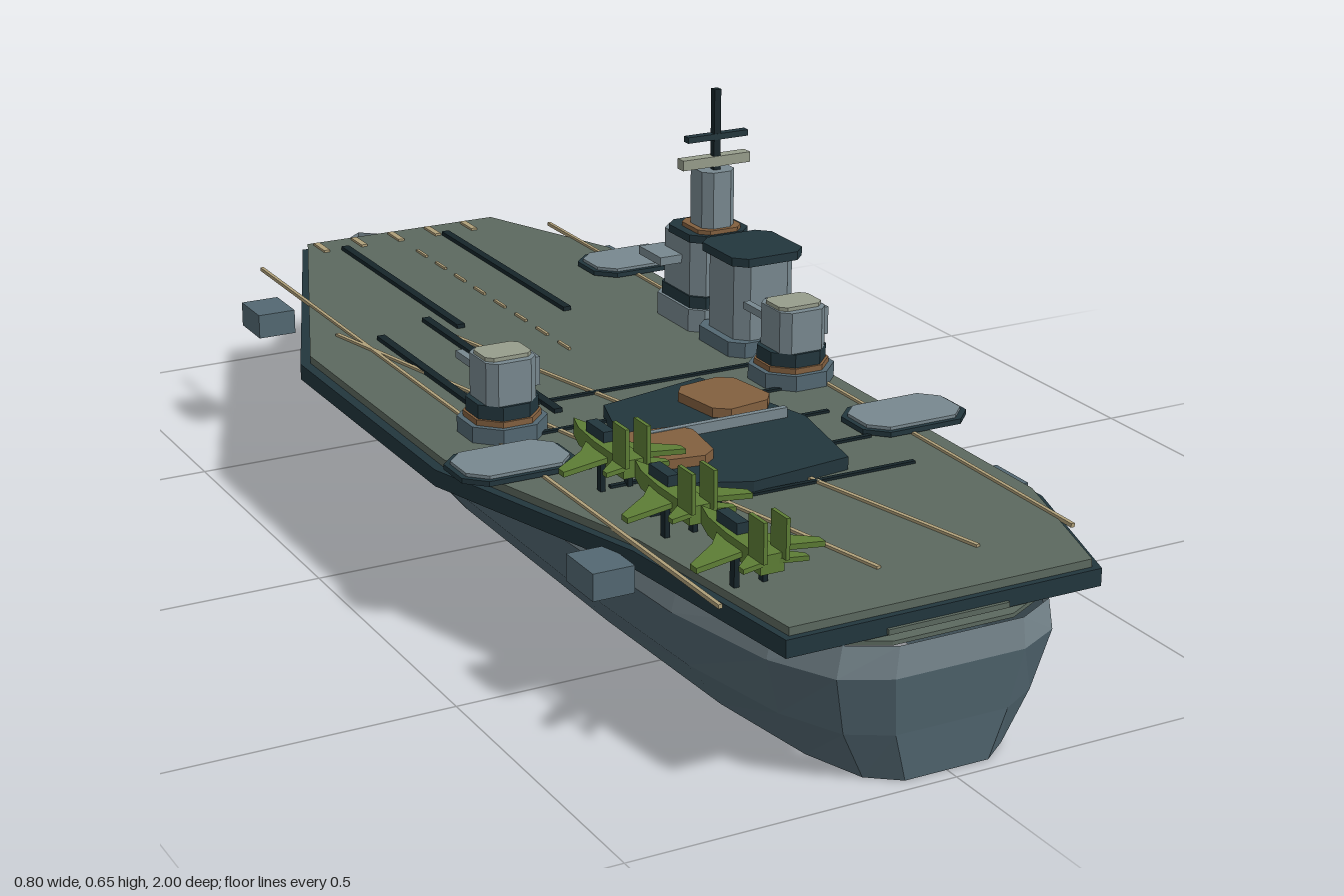
import * as THREE from 'three';

const mat = (name, color) => {
  const m = new THREE.MeshStandardMaterial({ color, side: THREE.DoubleSide });
  m.name = name;
  return m;
};

export function createModel() {
  const M = {
    hull: mat('hull blue grey', 0x536872),
    grey: mat('superstructure grey', 0x78888f),
    trim: mat('dark teal', 0x22363d),
    deck: mat('deck olive grey', 0x5c695f),
    black: mat('near black', 0x16252a),
    tan: mat('marking tan', 0xb0a07a),
    brown: mat('hatch brown', 0x83603f),
    green: mat('aircraft green', 0x5d7d35),
    khaki: mat('roof khaki', 0x979d8c),
  };
  const root = new THREE.Group();
  root.name = 'aircraftCarrier';

  const add = (parent, name, geo, m) => {
    const mesh = new THREE.Mesh(geo, m);
    mesh.name = name;
    parent.add(mesh);
    return mesh;
  };
  // Box given by its centre in x and z and its bottom and top heights
  const box = (parent, name, m, x, z, w, d, y0, y1) => {
    const mesh = add(parent, name, new THREE.BoxGeometry(w, y1 - y0, d), m);
    mesh.position.set(x, (y0 + y1) / 2, z);
    return mesh;
  };
  // Horizontal slab from an outline of [x, z] points
  const slab = (parent, name, m, pts, y0, y1) => {
    const shape = new THREE.Shape(pts.map(([x, z]) => new THREE.Vector2(x, -z)));
    const geo = new THREE.ExtrudeGeometry(shape, { depth: y1 - y0, bevelEnabled: false });
    geo.rotateX(-Math.PI / 2).translate(0, y0, 0);
    return add(parent, name, geo, m);
  };
  // Rectangle outline with cut corners, optionally turned
  const cut = (x, z, w, d, c, turn = 0) => {
    const a = w / 2, b = d / 2, cs = Math.cos(turn), sn = Math.sin(turn);
    return [[-a, c - b], [c - a, -b], [a - c, -b], [a, c - b], [a, b - c], [a - c, b], [c - a, b], [-a, b - c]]
      .map(([u, v]) => [x + u * cs - v * sn, z + u * sn + v * cs]);
  };
  // Thin painted line between two deck points
  const line = (name, m, x1, z1, x2, z2, w, y1 = 0.254) => {
    const mesh = box(root, name, m, (x1 + x2) / 2, (z1 + z2) / 2, w, Math.hypot(x2 - x1, z2 - z1), 0.248, y1);
    mesh.rotation.y = Math.atan2(x2 - x1, z2 - z1);
  };

  // Hull: stations of [z, fullness], levels of [height, half width, length factor]
  const stations = [[-1, 0], [-0.97, 0.13], [-0.87, 0.38], [-0.7, 0.66], [-0.48, 0.87], [-0.15, 1],
    [0.35, 1], [0.68, 0.94], [0.87, 0.8], [0.965, 0.62], [1, 0.37]];
  const levels = [[0, 0.18, 0.977], [0.075, 0.24, 0.985], [0.165, 0.275, 1], [0.212, 0.262, 1]];
  const point = (i, j, s) => {
    const [z, f] = stations[i], [y, w, k] = levels[j];
    return [s * w * f, y, z * k];
  };
  const hullBand = (name, m, j0, j1) => {
    const p = [];
    const quad = (a, b, c, d) => p.push(...a, ...b, ...c, ...a, ...c, ...d);
    const last = stations.length - 1;
    for (let j = j0; j < j1; j++) {
      for (let i = 0; i < last; i++) {
        quad(point(i, j, 1), point(i, j + 1, 1), point(i + 1, j + 1, 1), point(i + 1, j, 1));
        quad(point(i, j, -1), point(i + 1, j, -1), point(i + 1, j + 1, -1), point(i, j + 1, -1));
      }
      quad(point(last, j, -1), point(last, j, 1), point(last, j + 1, 1), point(last, j + 1, -1));
    }
    const geo = new THREE.BufferGeometry();
    geo.setAttribute('position', new THREE.Float32BufferAttribute(p, 3));
    geo.computeVertexNormals();
    add(root, name, geo, m);
  };
  hullBand('lowerHull', M.hull, 0, 2);
  hullBand('upperHull', M.grey, 2, 3);
  const side = (s) => stations.map((_, i) => point(i, 3, s)).map(([x, , z]) => [x * 0.98, z * 0.98]);
  slab(root, 'hullCover', M.deck, [...side(1), ...side(-1).reverse().slice(0, -1)], 0.204, 0.21);
  box(root, 'sternLedge', M.deck, 0, 0.96, 0.19, 0.02, 0.214, 0.222);

  // Flight deck with its dark edge
  const edge = [[-0.164, -0.87], [0.216, -0.87], [0.328, -0.6], [0.328, 0.715], [0.248, 0.965],
    [-0.248, 0.965], [-0.285, 0.62], [-0.4, 0.22], [-0.4, -0.3]];
  slab(root, 'deckEdge', M.trim, edge, 0.212, 0.238);
  slab(root, 'flightDeck', M.deck, edge.map(([x, z]) => [x * 0.96, z * 0.99]), 0.236, 0.25);

  // Catapult tracks, wires and painted markings
  for (const [x, z0, z1] of [[-0.11, -0.8, -0.31], [0.087, -0.8, -0.31], [-0.25, -0.32, 0.13], [-0.147, -0.37, 0.12]])
    line('catapultTrack', M.black, x, z0, x, z1, 0.014, 0.257);
  for (let i = 0; i < 5; i++) {
    const z = 0.07 + i * 0.119;
    line('arrestingWire', M.black, -0.22, z, 0.22, z, 0.008);
    box(root, 'bowMark', M.tan, -0.145 + i * 0.0725, -0.825, 0.011, 0.05, 0.249, 0.254);
  }
  for (let i = 0; i < 8; i++) line('centreDash', M.tan, 0, -0.73 + i * 0.08, 0, -0.69 + i * 0.08, 0.005);
  line('leftSideLine', M.tan, -0.285, -0.76, -0.285, 0.86, 0.006);
  line('rightSideLine', M.tan, 0.283, -0.77, 0.283, 0.85, 0.006);
  line('angledLine', M.tan, -0.306, -0.37, -0.035, 0.85, 0.007);
  line('angledLine', M.tan, -0.148, -0.31, 0.125, 0.85, 0.007);

  // Raised central platform with hatches and a barrier bar
  slab(root, 'centrePlatform', M.trim, [[-0.095, 0.17], [0.095, 0.13], [0.153, 0.35], [0.12, 0.525],
    [-0.05, 0.545], [-0.15, 0.5], [-0.155, 0.36]], 0.25, 0.27);
  slab(root, 'hatch', M.brown, cut(0.073, 0.243, 0.11, 0.125, 0.02, -0.15), 0.27, 0.285);
  slab(root, 'hatch', M.brown, cut(-0.105, 0.39, 0.11, 0.125, 0.02, 0.15), 0.27, 0.285);
  box(root, 'barrierBar', M.grey, 0, 0.34, 0.25, 0.01, 0.268, 0.286);

  // Side lifts
  for (const [x, z] of [[0.305, -0.485], [0.305, 0.388], [-0.31, 0.288]]) {
    slab(root, 'liftRim', M.trim, cut(x, z, 0.185, 0.122, 0.03), 0.252, 0.26);
    slab(root, 'liftPlatform', M.grey, cut(x, z, 0.168, 0.106, 0.026), 0.259, 0.265);
  }

  // Sponsons below the deck edge
  for (const s of [-1, 1]) for (const z of [-0.632, -0.045, 0.6])
    box(root, 'sponson', M.hull, s * 0.325, z, 0.065, 0.08, 0.185, 0.226);

  // Gun turrets aimed at the bow
  for (const x of [-0.255, 0.25]) {
    const t = new THREE.Group();
    t.name = 'gunTurret';
    root.add(t);
    slab(t, 'turretBase', M.hull, cut(x, 0.147, 0.125, 0.125, 0.035), 0.25, 0.275);
    slab(t, 'turretRing', M.brown, cut(x, 0.147, 0.108, 0.108, 0.03), 0.275, 0.284);
    slab(t, 'turretCollar', M.trim, cut(x, 0.147, 0.1, 0.1, 0.028), 0.284, 0.306);
    slab(t, 'turretBody', M.grey, cut(x, 0.15, 0.082, 0.085, 0.014), 0.306, 0.373);
    slab(t, 'turretRoof', M.khaki, cut(x, 0.15, 0.076, 0.06, 0.01), 0.373, 0.379);
    for (const s of [-1, 1]) box(t, 'gunBarrel', M.grey, x + s * 0.02, 0.08, 0.012, 0.08, 0.336, 0.348);
    box(t, 'sightBox', M.grey, x + 0.046, 0.15, 0.016, 0.035, 0.32, 0.365);
  }

  // Island: funnel, bridge, tower and mast
  const island = new THREE.Group();
  island.name = 'island';
  root.add(island);
  slab(island, 'funnelBase', M.hull, cut(0.278, -0.03, 0.135, 0.135, 0.02), 0.25, 0.275);
  slab(island, 'funnel', M.grey, cut(0.278, -0.03, 0.108, 0.118, 0.02), 0.275, 0.402);
  slab(island, 'funnelCap', M.trim, cut(0.28, -0.03, 0.13, 0.135, 0.02), 0.402, 0.416);
  slab(island, 'bridgeBase', M.grey, cut(0.275, -0.175, 0.12, 0.145, 0.02), 0.25, 0.288);
  slab(island, 'bridgeWindows', M.trim, cut(0.275, -0.175, 0.11, 0.135, 0.02), 0.288, 0.308);
  slab(island, 'bridge', M.grey, cut(0.275, -0.175, 0.105, 0.125, 0.02), 0.308, 0.402);
  box(island, 'bridgeWing', M.grey, 0.273, -0.197, 0.18, 0.075, 0.357, 0.371);
  slab(island, 'bridgeRoof', M.trim, cut(0.275, -0.165, 0.11, 0.11, 0.02), 0.4, 0.413);
  slab(island, 'roofBand', M.brown, cut(0.275, -0.155, 0.08, 0.085, 0.015), 0.413, 0.42);
  slab(island, 'tower', M.grey, cut(0.275, -0.153, 0.06, 0.066, 0.014), 0.42, 0.515);
  box(island, 'radarBar', M.khaki, 0.273, -0.145, 0.125, 0.02, 0.521, 0.538);
  box(island, 'mast', M.black, 0.274, -0.142, 0.012, 0.012, 0.515, 0.65);
  box(island, 'mastYard', M.trim, 0.275, -0.142, 0.112, 0.014, 0.566, 0.576);

  // Parked aircraft, noses toward the bow
  const wing = [[0.012, -0.035], [0.04, 0], [0.098, 0.045], [0.098, 0.062], [0.012, 0.04]];
  const tail = [[0.01, 0.05], [0.05, 0.088], [0.05, 0.1], [0.01, 0.09]];
  const nose = [[0, -0.1], [0.012, -0.06], [0.018, 0], [0.018, 0.09], [-0.018, 0.09], [-0.018, 0], [-0.012, -0.06]];
  for (const z of [0.4, 0.59, 0.78]) {
    const plane = new THREE.Group();
    plane.name = 'aircraft';
    plane.position.set(-0.213, 0, z);
    root.add(plane);
    slab(plane, 'fuselage', M.green, nose, 0.287, 0.314);
    for (const s of [-1, 1]) {
      slab(plane, 'wing', M.green, wing.map(([x, v]) => [s * x, v]), 0.295, 0.303);
      slab(plane, 'tailplane', M.green, tail.map(([x, v]) => [s * x, v]), 0.299, 0.306);
      box(plane, 'tailFin', M.green, s * 0.017, 0.08, 0.006, 0.04, 0.306, 0.365);
      box(plane, 'mainWheelLeg', M.black, s * 0.022, 0.03, 0.008, 0.012, 0.25, 0.295);
    }
    box(plane, 'noseWheelLeg', M.black, 0, -0.055, 0.008, 0.01, 0.25, 0.29);
    box(plane, 'canopy', M.trim, 0, -0.015, 0.018, 0.055, 0.314, 0.33);
  }
  return root;
}
